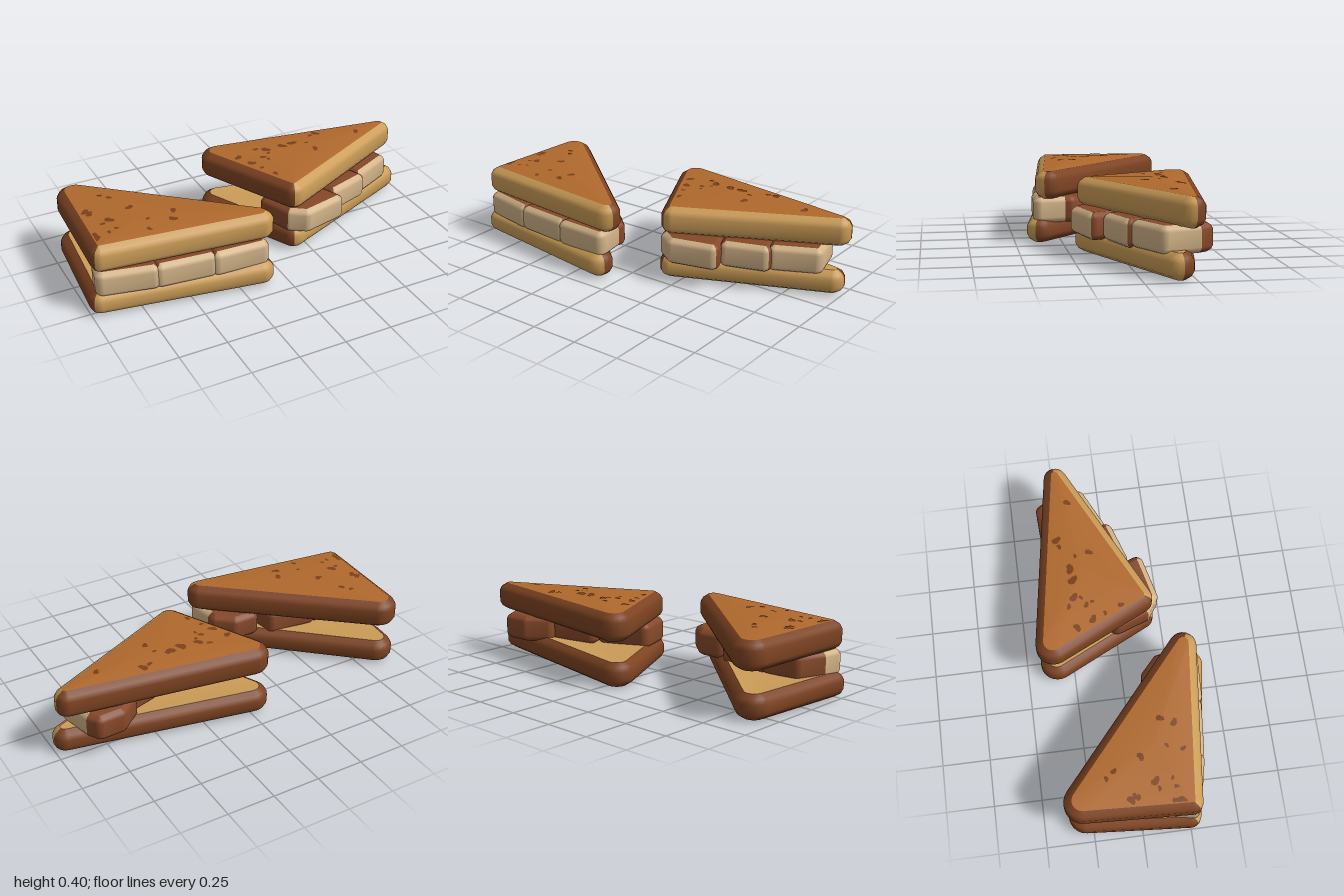
import * as THREE from 'three';

const mat = (name, color) => {
  const m = new THREE.MeshStandardMaterial({ color });
  m.name = name;
  return m;
};

const crumb = mat('crumb', 0xcb9c57);
const crust = mat('crust', 0x7d4322);
const toast = mat('toast', 0xb0692d);
const mark = mat('toastMark', 0x7c4019);
const meat = mat('paleFilling', 0xd2b388);
const seared = mat('searedFilling', 0x86482a);

// Rounded outline wrapped around circles [x, z, r]; runs from +x towards +z.
// It starts halfway round corner 0; `split` is the index halfway round corner cutEnd.
function outline(circles, cutEnd) {
  const n = circles.length, steps = 8;
  const normals = circles.map(([x, z, r], i) => {
    const [x2, z2, r2] = circles[(i + 1) % n];
    const len = Math.hypot(x2 - x, z2 - z), dx = (x2 - x) / len, dz = (z2 - z) / len;
    const c = (r - r2) / len, s = Math.sqrt(1 - c * c);
    return [dx * c + dz * s, dz * c - dx * s];
  });
  const pts = [];
  circles.forEach((circle, i) => {
    const p = normals[(i + n - 1) % n], q = normals[i];
    const a = Math.atan2(p[1], p[0]);
    let sweep = Math.atan2(q[1], q[0]) - a;
    while (sweep < 0) sweep += Math.PI * 2;
    for (let k = 0; k <= steps; k++) pts.push({ circle, angle: a + sweep * k / steps });
  });
  pts.push(...pts.splice(0, steps / 2));
  const centre = [0, 1].map(k => circles.reduce((s, c) => s + c[k], 0) / n);
  return { circles, normals, pts, centre, split: cutEnd * (steps + 1) };
}

const at = ({ circle: [x, z, r], angle }, inset, y) =>
  [x + (r - inset) * Math.cos(angle), y, z + (r - inset) * Math.sin(angle)];

function meshOf(name, material, positions, index) {
  const g = new THREE.BufferGeometry();
  g.setAttribute('position', new THREE.Float32BufferAttribute(positions, 3));
  g.setIndex(index);
  g.computeVertexNormals();
  const mesh = new THREE.Mesh(g, material);
  mesh.name = name;
  return mesh;
}

// Side wall through rings [inset, y] for part of an outline
function wall(name, material, pts, rings) {
  const pos = [], idx = [], n = pts.length;
  rings.forEach(([d, y]) => pts.forEach(p => pos.push(...at(p, d, y))));
  for (let k = 0; k < rings.length - 1; k++) {
    for (let i = 0; i < n - 1; i++) {
      const a = k * n + i, b = a + n;
      idx.push(a, b, a + 1, a + 1, b, b + 1);
    }
  }
  return meshOf(name, material, pos, idx);
}

// Broad face, raised or sunk to centreY in the middle
function face(name, material, o, [inset, y], centreY, up) {
  const pos = [o.centre[0], centreY, o.centre[1]], idx = [], n = o.pts.length;
  o.pts.forEach(p => pos.push(...at(p, inset, y)));
  for (let i = 0; i < n; i++) {
    const a = 1 + i, b = 1 + (i + 1) % n;
    idx.push(0, up ? b : a, up ? a : b);
  }
  return meshOf(name, material, pos, idx);
}

// Closed block with rounded edges: cut wall, outer wall, lower and upper face
function block(name, o, y0, y1, r, mats, lowY, highY) {
  const rings = [[r, y0], [r * 0.3, y0 + r * 0.45], [0, y0 + r],
    [0, y1 - r], [r * 0.3, y1 - r * 0.45], [r, y1]];
  const g = new THREE.Group();
  g.name = name;
  g.add(
    wall('cutSide', mats.cut, o.pts.slice(0, o.split + 1), rings),
    wall('outerSide', mats.outer, [...o.pts.slice(o.split), o.pts[0]], rings),
    face('underside', mats.bottom, o, rings[0], lowY, false),
    face('upperSide', mats.top, o, rings[rings.length - 1], highY, true));
  return g;
}

// Irregular toast marks on a broad face, scattered mostly along the front-back crust
function toastMarks(o, count, seed, rimY, centreY, up) {
  const random = () => (seed = (seed * 16807) % 2147483647) / 2147483647;
  const pos = [], idx = [], [cx, cz] = o.centre, sides = 9, inset = 0.042;
  const put = (x, z) => {
    let t = 0;
    o.normals.forEach(([nx, nz], i) => {
      const [ex, ez, r] = o.circles[i];
      t = Math.max(t, (nx * (x - cx) + nz * (z - cz)) / (nx * (ex - cx) + nz * (ez - cz) + r - inset));
    });
    const s = t > 0.98 ? 0.98 / t : 1;
    pos.push(cx + (x - cx) * s, centreY + (rimY - centreY) * t * s + (up ? 0.0025 : -0.002), cz + (z - cz) * s);
  };
  const [tip, front, back] = o.circles;
  for (let m = 0; m < count; m++) {
    const along = random(), inward = 0.8 * random() ** 2.5, r = 0.01 + 0.016 * random() ** 1.5;
    const [x, z] = [0, 1].map(k => THREE.MathUtils.lerp(
      THREE.MathUtils.lerp(front[k], back[k], along), tip[k], inward));
    const base = pos.length / 3;
    put(x, z);
    for (let i = 0; i < sides; i++) {
      const a = i / sides * Math.PI * 2;
      const q = r * (1 + 0.28 * Math.sin(a * 2 + m) + 0.15 * Math.sin(a * 3 + m * 2));
      put(x + q * Math.cos(a), z + q * Math.sin(a));
      const p = base + 1 + i, n = base + 1 + (i + 1) % sides;
      idx.push(base, up ? n : p, up ? p : n);
    }
  }
  return meshOf('toastMarks', mark, pos, idx);
}

// Filling piece: corners [x, z] become small circles pulled inwards; pale at the cut, seared behind
function fillingPiece(cutEnd, ...corners) {
  const r = 0.04, n = corners.length;
  const [cx, cz] = [0, 1].map(k => corners.reduce((s, c) => s + c[k], 0) / n);
  const circles = corners.map(([x, z]) => {
    const k = 1 - 1.15 * r / Math.hypot(x - cx, z - cz);
    return [cx + (x - cx) * k, cz + (z - cz) * k, r];
  });
  return block('fillingPiece', outline(circles, cutEnd), 0.105, 0.244, 0.03,
    { cut: meat, outer: seared, bottom: seared, top: seared }, 0.105, 0.248);
}

// Two slices toasted on their outward faces, with filling between.
// Slice corners go tip, front, back; the cut side joins tip and front.
function sandwichHalf(name, seed, bottomCorners, topCorners, filling) {
  const low = outline(bottomCorners, 1), high = outline(topCorners, 1);
  const lower = block('bottomSlice', low, 0.003, 0.13, 0.042,
    { cut: crumb, outer: crust, bottom: toast, top: crumb }, 0.003, 0.11);
  lower.add(toastMarks(low, 5, seed + 1, 0.003, 0.003, false));
  const upper = block('topSlice', high, 0.24, 0.387, 0.042,
    { cut: crumb, outer: crust, bottom: crumb, top: toast }, 0.25, 0.405);
  upper.add(toastMarks(high, 16, seed, 0.387, 0.405, true));
  const g = new THREE.Group();
  g.name = name;
  g.add(lower, upper, ...filling);
  return g;
}

export function createModel() {
  const model = new THREE.Group();
  model.name = 'toastedSandwich';
  model.add(sandwichHalf('rightSandwichHalf', 48271,
    [[-0.13, 0.365, 0.07], [-0.945, 0.25, 0.055], [-0.87, -0.28, 0.09]],
    [[-0.11, 0.32, 0.07], [-0.93, 0.25, 0.05], [-0.86, -0.29, 0.095]],
    [
      fillingPiece(2, [-0.66, 0.345], [-0.965, 0.29], [-0.96, 0.19], [-0.88, 0.02], [-0.66, 0.04]),
      fillingPiece(1, [-0.37, 0.375], [-0.68, 0.35], [-0.68, 0.03], [-0.4, 0.05]),
      fillingPiece(2, [-0.1, 0.23], [-0.1, 0.4], [-0.39, 0.38], [-0.35, 0.1], [-0.22, 0.085], [-0.1, 0.18])
    ]));
  model.add(sandwichHalf('leftSandwichHalf', 90731,
    [[0.935, -0.175, 0.065], [0.18, 0.15, 0.06], [-0.025, -0.335, 0.09]],
    [[0.935, -0.23, 0.06], [0.18, 0.14, 0.06], [-0.02, -0.345, 0.09]],
    [
      fillingPiece(2, [0.475, 0.165], [0.22, 0.245], [0.125, 0.18], [0.07, -0.02], [0.36, -0.1]),
      fillingPiece(1, [0.69, 0.03], [0.45, 0.11], [0.35, -0.14], [0.59, -0.22]),
      fillingPiece(2, [0.87, -0.3], [0.905, -0.09], [0.67, 0.01], [0.57, -0.24], [0.68, -0.35], [0.83, -0.355])
    ]));
  return model;
}
